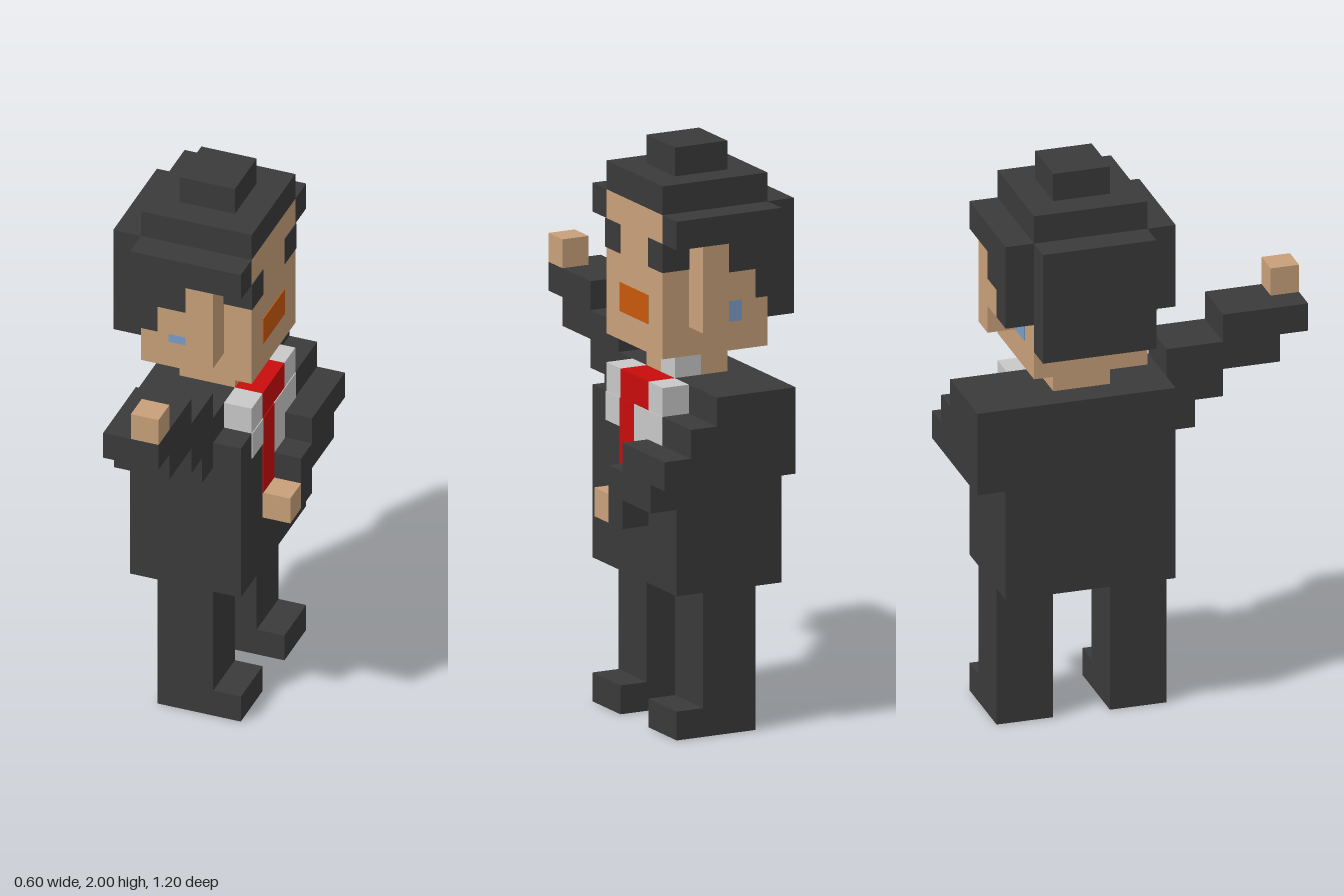
import * as THREE from 'three';

const U = 0.1; // one block
const P = 0.003; // how far painted faces stand proud

function mat(name, color) {
  const m = new THREE.MeshStandardMaterial({ color });
  m.name = name;
  return m;
}

export function createModel() {
  const dark = mat('charcoal', 0x3a3a3a);
  const skin = mat('skin', 0xc8a07a);
  const red = mat('red', 0xc80c0c);
  const shirt = mat('shirt grey', 0xc8c8c8);
  const orange = mat('orange', 0xc8580c);
  const blue = mat('blue', 0x7a9eca);
  const model = new THREE.Group();
  model.name = 'blockMan';

  // Box from block coordinates: x, y and z ranges counted in blocks
  function box(parent, name, material, x0, x1, y0, y1, z0, z1) {
    const g = new THREE.BoxGeometry((x1 - x0) * U, (y1 - y0) * U, (z1 - z0) * U);
    const mesh = new THREE.Mesh(g, material);
    mesh.position.set((x0 + x1) * U / 2, (y0 + y1) * U / 2, (z0 + z1) * U / 2);
    mesh.name = name;
    parent.add(mesh);
  }
  function group(name) {
    const g = new THREE.Group();
    g.name = name;
    model.add(g);
    return g;
  }
  // Thin painted face on the chest or face, at x = 2 blocks
  const paint = (parent, name, m, y0, y1, z0, z1) =>
    box(parent, name, m, 1.95, 2 + P / U, y0, y1, z0, z1);

  // Legs with feet pointing to +x
  for (const z of [-5, -1]) {
    const leg = group('leg');
    box(leg, 'trouserLeg', dark, -1, 1, 1, 5, z, z + 2);
    box(leg, 'shoe', dark, -1, 2, 0, 1, z, z + 2);
  }

  // Jacket
  const torso = group('torso');
  box(torso, 'jacket', dark, -2, 2, 5, 11, -5, 1);
  box(torso, 'shoulders', dark, -2, 1, 11, 12, -6, 1);

  // Shirt and tie
  box(torso, 'collarRight', shirt, 1, 2, 11, 12, -1, 0);
  box(torso, 'collarLeft', shirt, 1, 2, 11, 12, -4, -3);
  box(torso, 'tieKnot', red, 1, 2, 11, 12, -3, -1);
  paint(torso, 'shirtRight', shirt, 10, 11, -1, 0);
  paint(torso, 'shirtLeft', shirt, 10, 11, -4, -2);
  paint(torso, 'shirtLower', shirt, 9, 10, -3, -2);
  paint(torso, 'tie', red, 8, 11, -2, -1);

  // Raised arm, stepping up and out
  const raisedArm = group('raisedArm');
  [[10, 1, 2], [11, 1, 3], [12, 1, 5], [13, 3, 6]].forEach(([y, z0, z1]) =>
    box(raisedArm, 'sleeve', dark, -1, 1, y, y + 1, z0, z1));
  box(raisedArm, 'hand', skin, 0, 1, 14, 15, 5, 6);

  // Arm folded across the front
  const foldedArm = group('foldedArm');
  box(foldedArm, 'upperArm', dark, -2, 2, 9, 11, -6, -5);
  [[9, -6, -3], [8, -5, -2], [7, -3, -2]].forEach(([y, z0, z1]) =>
    box(foldedArm, 'forearm', dark, 2, 3, y, y + 1, z0, z1));
  box(foldedArm, 'hand', skin, 2, 3, 7, 8, -2, -1);

  // Neck and head
  const head = group('head');
  box(head, 'neckBack', skin, -1, 0, 12, 13, -3, -1);
  box(head, 'neckFront', skin, 0, 1, 12, 13, -2, -1);
  box(head, 'neckCollar', shirt, 0, 1, 12, 13, -3, -2);
  box(head, 'face', skin, -2, 2, 13, 18, -4, 0);
  paint(head, 'mouth', orange, 14, 15, -3, -1);

  // Both sides of the head: s = 1 towards +z, s = -1 towards -z
  for (const s of [1, -1]) {
    const side = (name, m, x0, x1, y0, y1, a, b) => {
      const z = [-2 + s * a, -2 + s * b].sort((p, q) => p - q);
      box(head, name, m, x0, x1, y0, y1, z[0], z[1]);
    };
    side('eye', dark, 1, 2 + P / U, 16, 17, 1, 2 + P / U);
    side('ear', skin, 0, 1, 14, 17, 2, 3);
    side('earBack', skin, -1, 0, 15, 16, 2, 3);
    side('cheekPatch', blue, -1, 0, 14, 15, 1.95, 2 + P / U);
    side('sideHairTop', dark, -2, 2, 17, 18, 2, 3);
    side('sideHairMiddle', dark, -2, 0, 16, 17, 2, 3);
    side('sideHairLow', dark, -2, -1, 15, 16, 2, 3);
  }

  // Hair on the back and crown
  const hair = group('hair');
  box(hair, 'backHair', dark, -3, -2, 14, 18, -4, 0);
  box(hair, 'crown', dark, -2, 2, 18, 19, -4, 0);
  box(hair, 'topTuft', dark, -1, 1, 19, 20, -3, -1);

  return model;
}
